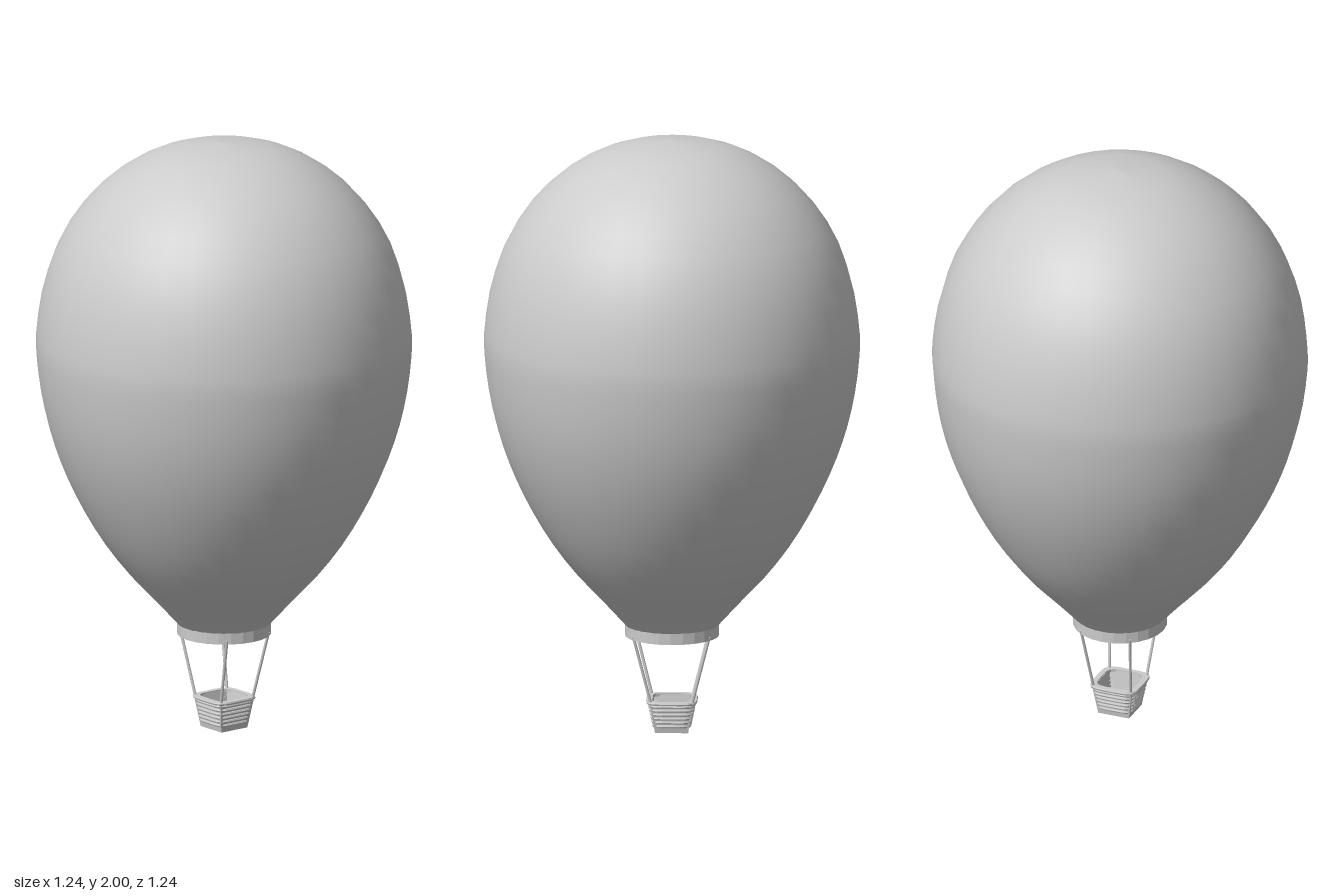
import * as THREE from 'three';

const smooth = new THREE.MeshStandardMaterial({ color: 0xcccccc, side: THREE.DoubleSide });
const faceted = new THREE.MeshStandardMaterial({ color: 0xcccccc, side: THREE.DoubleSide, flatShading: true });

const toPoints = (list) => list.map(([x, y]) => new THREE.Vector2(x, y));

function addLathe(parent, name, points, sides, material) {
  const mesh = new THREE.Mesh(new THREE.LatheGeometry(points, sides), material);
  mesh.name = name;
  parent.add(mesh);
  return mesh;
}

// Hoop with a rounded-square plan, made by pushing a lathe's corners outwards
function addSquareHoop(parent, name, profile) {
  const mesh = addLathe(parent, name, toPoints(profile), 32, faceted);
  const pos = mesh.geometry.attributes.position;
  for (let i = 0; i < pos.count; i++) {
    const x = pos.getX(i), z = pos.getZ(i), r = Math.hypot(x, z);
    const k = Math.pow(Math.abs(x / r) ** 5 + Math.abs(z / r) ** 5, -1 / 5);
    pos.setXYZ(i, x * k, pos.getY(i), z * k);
  }
}

function addRod(parent, name, from, to, radius) {
  const a = new THREE.Vector3(...from), b = new THREE.Vector3(...to);
  const mesh = new THREE.Mesh(new THREE.CylinderGeometry(radius, radius, a.distanceTo(b), 8), smooth);
  mesh.position.copy(a).lerp(b, 0.5);
  mesh.quaternion.setFromUnitVectors(new THREE.Vector3(0, 1, 0), b.sub(a).normalize());
  mesh.name = name;
  parent.add(mesh);
}

export function createModel() {
  const model = new THREE.Group();
  model.name = 'hotAirBalloon';

  // Envelope: full-bodied, open at the mouth
  const outline = new THREE.SplineCurve(toPoints([
    [0.154, 0.358], [0.228, 0.44], [0.325, 0.545], [0.41, 0.66], [0.482, 0.785],
    [0.537, 0.905], [0.578, 1.025], [0.605, 1.145], [0.62, 1.27], [0.62, 1.36],
    [0.597, 1.51], [0.54, 1.67], [0.438, 1.815], [0.308, 1.92], [0.165, 1.98], [0, 2],
  ]));
  const profile = outline.getPoints(32);
  profile[profile.length - 1].x = 0;
  addLathe(model, 'envelope', profile, 36, smooth);

  // Mouth ring: short band with a thin wall
  addLathe(model, 'mouthRing', toPoints([
    [0.149, 0.322], [0.156, 0.322], [0.156, 0.36], [0.149, 0.36], [0.149, 0.322],
  ]), 24, faceted);

  // Basket: tapered square shell, open at the top
  const basket = new THREE.Group();
  basket.name = 'basket';
  model.add(basket);
  const shell = [[0, 0], [0.055, 0], [0.071, 0.104], [0.064, 0.104], [0.049, 0.01], [0, 0.01]];
  addLathe(basket, 'basketShell', toPoints(shell.map(([half, y]) => [half * Math.SQRT2, y])), 4, faceted)
    .rotation.y = Math.PI / 4;

  // Woven bands round the basket wall
  const bandCount = 6;
  for (let i = 0; i < bandCount; i++) {
    const y = 0.018 + i * 0.0138, outer = 0.062 + y * 0.2;
    addSquareHoop(basket, 'wovenBand', [
      [outer - 0.012, y], [outer - 0.002, y], [outer, y + 0.005], [outer - 0.002, y + 0.01], [outer - 0.012, y + 0.01],
    ]);
  }

  // Basket rim
  addSquareHoop(basket, 'basketRim', [
    [0.065, 0.098], [0.083, 0.098], [0.085, 0.103], [0.083, 0.108], [0.065, 0.108], [0.065, 0.098],
  ]);

  // Four ropes from the basket corners to the mouth ring
  for (const sx of [-1, 1]) {
    for (const sz of [-1, 1]) {
      addRod(model, 'rope', [sx * 0.066, 0.095, sz * 0.066], [sx * 0.126, 0.335, sz * 0.088], 0.005);
    }
  }
  return model;
}
